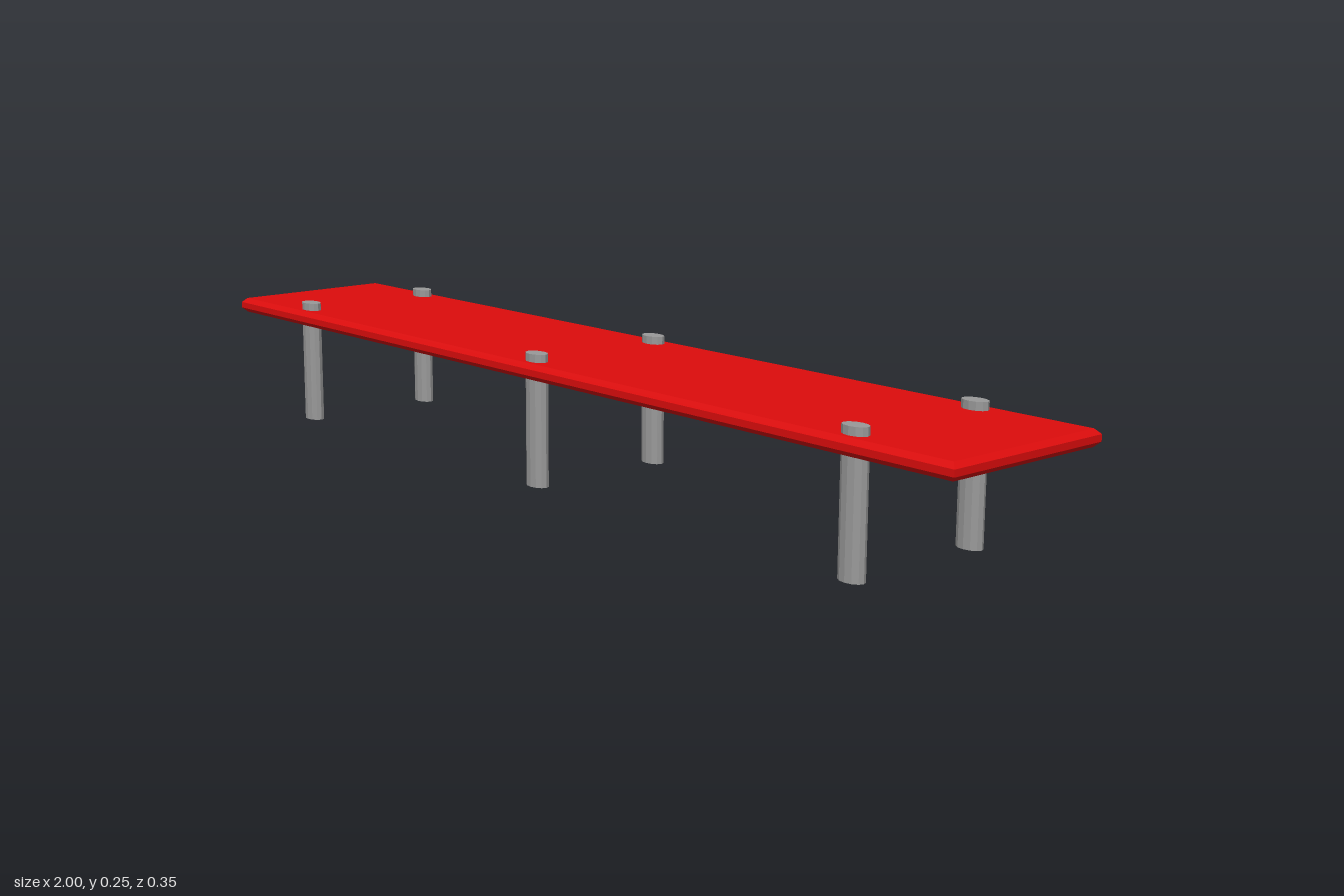
import * as THREE from 'three';

export function createModel() {
  const group = new THREE.Group();
  const red = new THREE.MeshStandardMaterial({ color: 0xdd0c0c, flatShading: true });
  const grey = new THREE.MeshStandardMaterial({ color: 0x999999, flatShading: true });

  // Long flat board with chamfered edges all round
  const hx = 1, hz = 0.177, inset = 0.009, bevel = 0.009;
  const bottom = 0.205, top = 0.235;
  const x = hx - inset, z = hz - inset;
  const outline = new THREE.Shape([
    new THREE.Vector2(-x, -z), new THREE.Vector2(x, -z),
    new THREE.Vector2(x, z), new THREE.Vector2(-x, z),
  ]);
  const boardGeometry = new THREE.ExtrudeGeometry(outline, {
    depth: top - bottom - 2 * bevel,
    bevelEnabled: true, bevelSegments: 1, bevelSize: inset, bevelThickness: bevel,
  });
  boardGeometry.rotateX(-Math.PI / 2).translate(0, bottom + bevel, 0);
  const board = new THREE.Mesh(boardGeometry, red);
  board.name = 'board';
  group.add(board);

  // Three pairs of oval posts passing up through the board
  const postHeight = 0.25;
  const postGeometry = new THREE.CylinderGeometry(1, 1, postHeight, 12);
  postGeometry.scale(0.026, 1, 0.017).translate(0, postHeight / 2, 0);
  for (const px of [-0.77, -0.007, 0.777]) {
    for (const side of [-1, 1]) {
      const post = new THREE.Mesh(postGeometry, grey);
      post.name = side > 0 ? 'frontPost' : 'backPost';
      post.position.set(px, 0, side * 0.143);
      group.add(post);
    }
  }
  return group;
}
